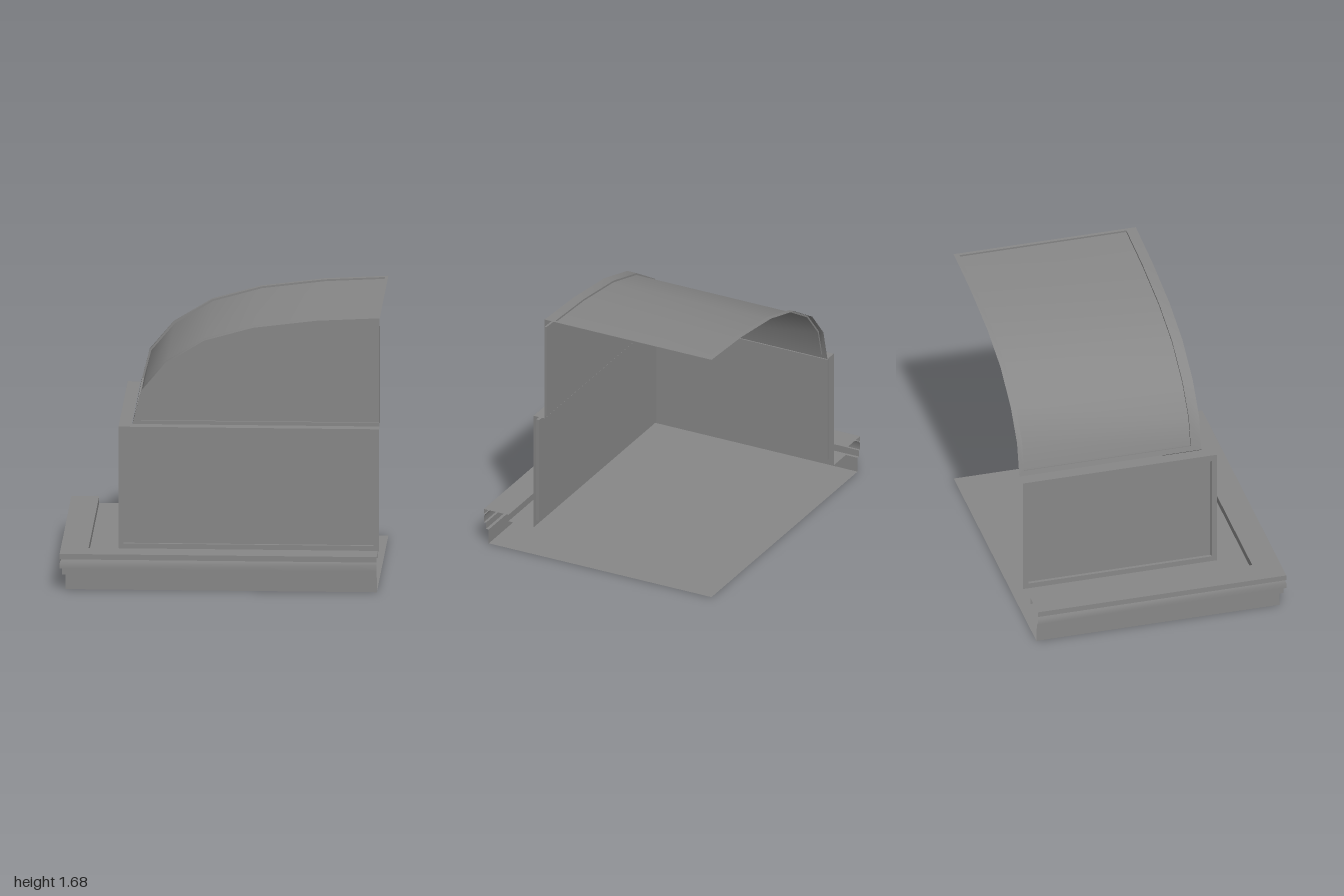
import * as THREE from 'three';
import { toCreasedNormals } from 'three/addons/utils/BufferGeometryUtils.js';

const BACK = -0.81, RIGHT = 1;
const material = new THREE.MeshStandardMaterial({ color: 0x878787, side: THREE.DoubleSide });

// Skins rows of equally many points; collapsed triangles are dropped.
function skin(rows) {
  const out = [];
  const tri = (a, b, c) => {
    const u = b.clone().sub(a), v = c.clone().sub(a);
    if (u.cross(v).length() > 1e-8) out.push(...a.toArray(), ...b.toArray(), ...c.toArray());
  };
  for (let r = 0; r < rows.length - 1; r++) {
    for (let i = 0; i < rows[r].length - 1; i++) {
      const a = rows[r][i], b = rows[r][i + 1], c = rows[r + 1][i + 1], d = rows[r + 1][i];
      tri(a, b, c);
      tri(a, c, d);
    }
  }
  const g = new THREE.BufferGeometry();
  g.setAttribute('position', new THREE.Float32BufferAttribute(out, 3));
  g.computeVertexNormals();
  return toCreasedNormals(g, 0.6);
}

const v = (x, y, z) => new THREE.Vector3(x, y, z);
const closed = (loop) => [...loop, loop[0]];

// Moulding running along the left-hand side and the front with a mitred corner;
// each profile point is [distance in from the outer edge, height].
const moulding = (profile) => skin(profile.map(([d, y]) => [
  v(-1 + d, y, BACK), v(-1 + d, y, 0.814 - d), v(RIGHT, y, 0.814 - d),
]));

export function createModel() {
  const model = new THREE.Group();
  const add = (name, geometry, parent = model) => {
    const mesh = new THREE.Mesh(geometry, material);
    mesh.name = name;
    parent.add(mesh);
  };

  // A raised border around a sunken flat panel.
  const framedPanel = (name, outer, inner, sink) => {
    const group = new THREE.Group();
    group.name = name;
    const sunk = inner.map((p) => p.clone().add(sink));
    const centre = sunk.reduce((s, p) => s.add(p), v(0, 0, 0)).divideScalar(sunk.length);
    add(name + 'Frame', skin([outer, inner, sunk].map(closed)), group);
    add(name + 'Panel', skin([closed(sunk), closed(sunk.map(() => centre))]), group);
    model.add(group);
  };

  // Underside
  const floor = new THREE.PlaneGeometry(1.965, 1.589);
  floor.rotateX(Math.PI / 2);
  floor.translate(0.0175, 0, -0.0155);
  add('floor', floor);

  // Stepped base with rim and sunken channel
  add('base', moulding([
    [0.035, 0], [0.035, 0.098], [0.015, 0.098], [0.015, 0.141], [0, 0.141], [0, 0.178],
    [0.01, 0.2], [0, 0.2], [0, 0.235], [0.175, 0.235], [0.175, 0.19], [0.355, 0.19],
  ]));

  // Walls
  const rect = (a0, a1, y0, y1, at) => [at(a0, y0), at(a1, y0), at(a1, y1), at(a0, y1)];
  const frontAt = (a, y) => v(a, y, 0.459);
  const sideAt = (a, y) => v(-0.645, y, a);
  framedPanel('frontWall', rect(-0.645, RIGHT, 0.19, 0.98, frontAt),
    rect(-0.613, 0.965, 0.225, 0.938, frontAt), v(0, 0, -0.021));
  framedPanel('sideWall', rect(BACK, 0.459, 0.19, 0.98, sideAt),
    rect(-0.775, 0.423, 0.225, 0.938, sideAt), v(0.021, 0, 0));

  // Ledge between walls and roof
  add('ledge', moulding([[0.355, 0.98], [0.435, 0.98]]));

  // Gable
  const arc = [[-0.56, 0.98], [-0.505, 1.195], [-0.355, 1.373], [-0.11, 1.523],
    [0.2, 1.61], [0.6, 1.66], [RIGHT, 1.68]];
  const innerArc = [[-0.508, 1.003], [-0.455, 1.195], [-0.318, 1.35], [-0.085, 1.485],
    [0.2, 1.565], [0.6, 1.615], [RIGHT, 1.63]];
  const gableZ = 0.38;
  const onGable = (pts, foot) => [...pts, [RIGHT, foot]].map(([x, y]) => v(x, y, gableZ));
  framedPanel('gable', onGable(arc, 0.98), onGable(innerArc, 1.003), v(0, 0, -0.014));

  // Curved roof: border plus a panel sunk along the curve's normal
  const panelArc = arc.map((p) => [...p]);
  panelArc[0] = [-0.552, 1.012];
  panelArc[arc.length - 1] = [0.98, 1.679];
  const sunkArc = panelArc.map(([x, y], i) => {
    const a = panelArc[Math.max(i - 1, 0)], b = panelArc[Math.min(i + 1, arc.length - 1)];
    const t = new THREE.Vector2(b[0] - a[0], b[1] - a[1]).normalize();
    return [x + t.y * 0.012, y - t.x * 0.012];
  });
  const line = (pts, z) => pts.map(([x, y]) => v(x, y, z));
  const loop = (pts, z0, z1) => closed([...line(pts, z0), ...line(pts, z1).reverse()]);
  const roof = new THREE.Group();
  roof.name = 'roof';
  add('roofFrame', skin([loop(arc, gableZ, BACK), loop(panelArc, 0.313, -0.777),
    loop(sunkArc, 0.313, -0.777)]), roof);
  add('roofPanel', skin([line(sunkArc, 0.313), line(sunkArc, -0.777)]), roof);
  model.add(roof);

  return model;
}
